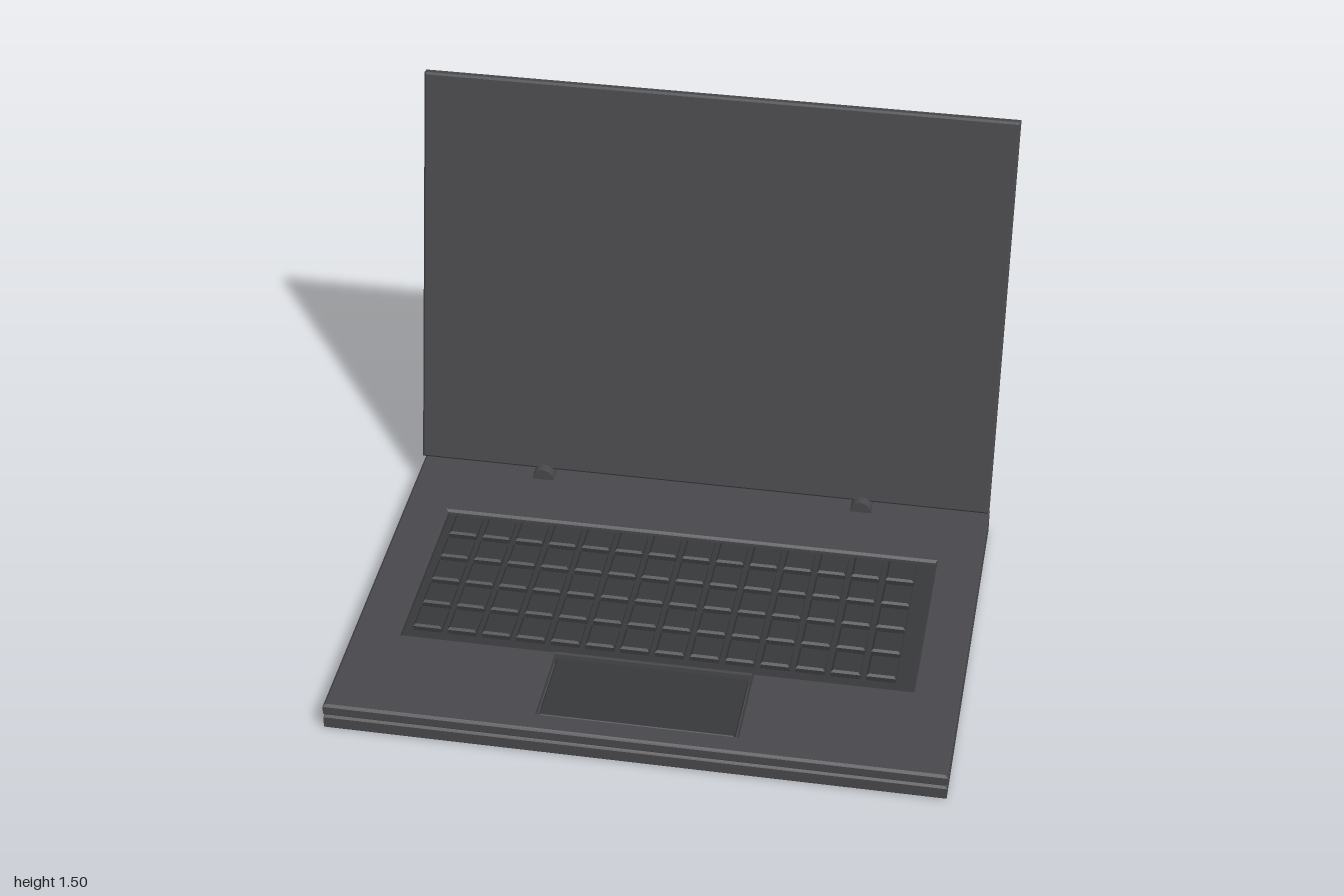
import * as THREE from 'three';

const body = new THREE.MeshStandardMaterial({ color: 0x48484c });
const dark = new THREE.MeshStandardMaterial({ color: 0x37383a });

// Rectangle outline; z runs towards the front, so it is negated in the shape plane
function rect(x0, x1, z0, z1) {
  return [[x0, -z1], [x1, -z1], [x1, -z0], [x0, -z0]].map(p => new THREE.Vector2(...p));
}

// Flat slab with chamfered edges, rising from y = 0
function slabGeometry(points, height, bevel, hole) {
  const shape = new THREE.Shape(points);
  if (hole) shape.holes.push(new THREE.Path(hole));
  const g = new THREE.ExtrudeGeometry(shape, {
    depth: height - 2 * bevel, bevelEnabled: true, bevelThickness: bevel,
    bevelSize: bevel, bevelOffset: -bevel, bevelSegments: 1,
  });
  g.translate(0, 0, bevel);
  g.rotateX(-Math.PI / 2);
  return g;
}

export function createModel() {
  const model = new THREE.Group();
  model.name = 'laptop';
  const add = (name, geometry, material, x = 0, y = 0, z = 0, parent = model) => {
    const mesh = new THREE.Mesh(geometry, material);
    mesh.name = name;
    mesh.position.set(x, y, z);
    parent.add(mesh);
    return mesh;
  };

  // Base: two stacked slabs, the upper one cut out for keyboard and touchpad
  const outline = rect(-1, 1, -0.57, 0.84);
  const cutout = [
    [-0.845, 0.245], [0.845, 0.245], [0.845, -0.445], [0.325, -0.445],
    [0.325, -0.76], [-0.325, -0.76], [-0.325, -0.445], [-0.845, -0.445],
  ].map(p => new THREE.Vector2(...p));
  add('lowerBase', slabGeometry(outline, 0.052, 0.007), body);
  add('upperBase', slabGeometry(outline, 0.044, 0.008, cutout), body, 0, 0.052);

  // Recessed panels with a narrow rib between them
  add('keyboardPanel', slabGeometry(rect(-0.845, 0.845, -0.245, 0.445), 0.032, 0.004), dark, 0, 0.05);
  add('touchpad', slabGeometry(rect(-0.315, 0.315, 0.463, 0.753), 0.034, 0.004), dark, 0, 0.05);
  add('panelRib', new THREE.BoxGeometry(0.65, 0.042, 0.012), body, 0, 0.073, 0.452);

  // Keys
  const keys = new THREE.Group();
  keys.name = 'keys';
  model.add(keys);
  const keyGeometry = slabGeometry(rect(-0.048, 0.048, -0.053, 0.053), 0.029, 0.007);
  for (let row = 0; row < 5; row++) {
    for (let col = 0; col < 14; col++) {
      add('key', keyGeometry, dark, -0.762 + col * 0.1154, 0.077, -0.163 + row * 0.128, keys);
    }
  }

  // Hinge barrels
  const hingeGeometry = new THREE.CylinderGeometry(0.037, 0.037, 0.197, 24).rotateX(Math.PI / 2);
  for (const side of [-1, 1]) {
    add(side > 0 ? 'leftHinge' : 'rightHinge', hingeGeometry, body, side * 0.56, 0.098, -0.577);
  }

  // Screen lid, tilted back about its lower edge
  const lidGeometry = slabGeometry(rect(-1, 1, -1.409, 0), 0.04, 0.007);
  lidGeometry.translate(0, -0.02, 0);
  const lid = add('screenLid', lidGeometry, body, 0, 0.115, -0.53);
  lid.rotation.x = Math.PI / 2 - Math.atan2(0.29, 1.379);

  return model;
}
